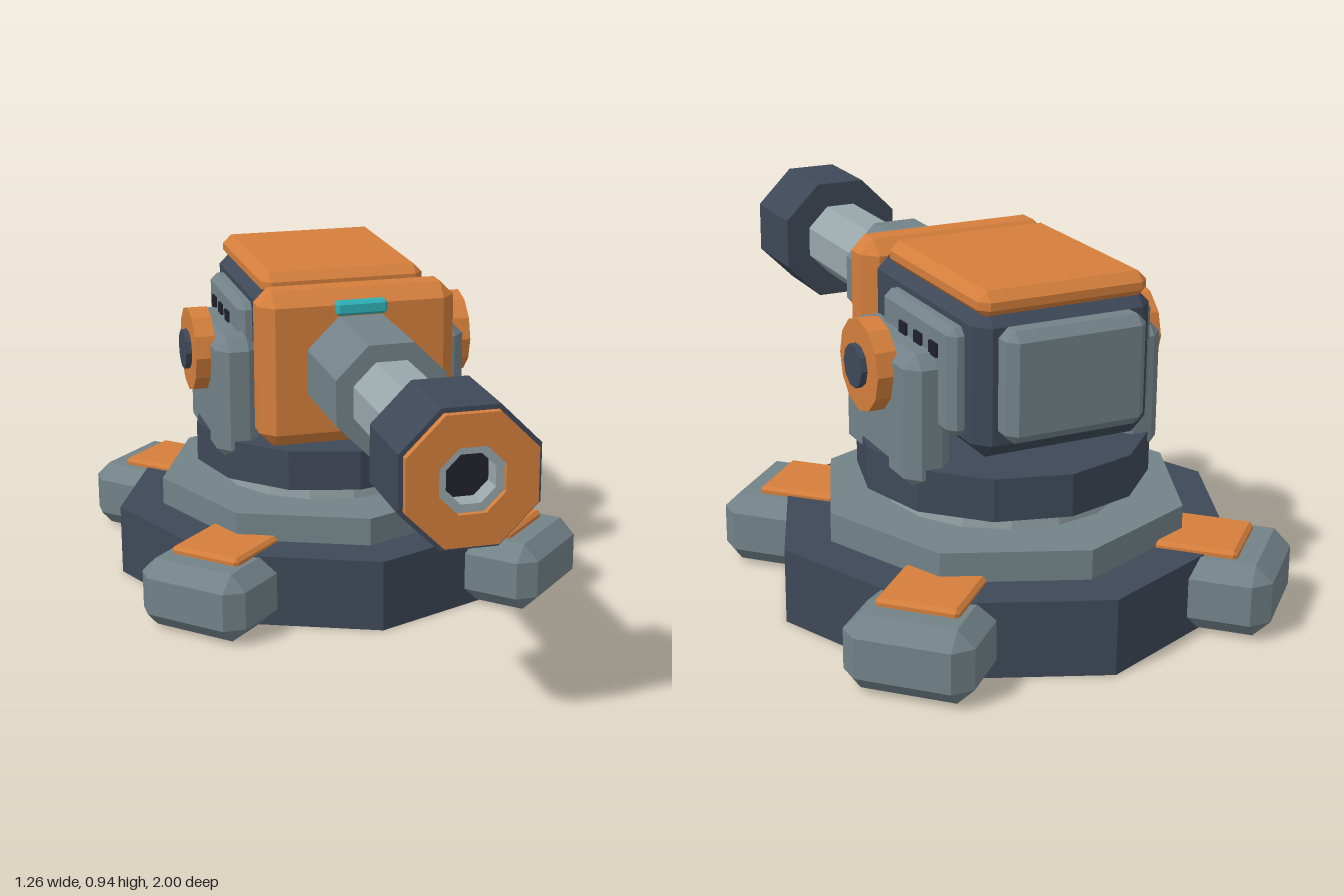
import * as THREE from 'three';
import { ConvexGeometry } from 'three/addons/geometries/ConvexGeometry.js';

const mat = (name, color) => {
  const m = new THREE.MeshStandardMaterial({ color });
  m.name = name;
  return m;
};

// Facet a geometry so every face is flat
function facet(geometry) {
  const g = geometry.index ? geometry.toNonIndexed() : geometry;
  g.computeVertexNormals();
  return g;
}

// Box with every edge chamfered by c, given as min/max extents
function chamferBox([x0, x1], [y0, y1], [z0, z1], c) {
  const h = [(x1 - x0) / 2, (y1 - y0) / 2, (z1 - z0) / 2];
  const points = [];
  for (const sx of [-1, 1]) for (const sy of [-1, 1]) for (const sz of [-1, 1])
    for (let full = 0; full < 3; full++) {
      const p = h.map((v, i) => (i === full ? v : v - c));
      points.push(new THREE.Vector3(p[0] * sx, p[1] * sy, p[2] * sz));
    }
  const g = new ConvexGeometry(points);
  g.translate((x0 + x1) / 2, (y0 + y1) / 2, (z0 + z1) / 2);
  return g;
}

// Upright prism with a corner facing +z
const drum = (r, y0, y1, sides) =>
  facet(new THREE.CylinderGeometry(r, r, y1 - y0, sides).translate(0, (y0 + y1) / 2, 0));

// Eight-sided tube along z with flats up and sideways; sizes are across half the flats
function octTube(inner, outer, z0, z1) {
  const k = 1 / Math.cos(Math.PI / 8);
  const profile = [[inner, z0], [outer, z0], [outer, z1], [inner, z1], [inner, z0]]
    .map(([r, z]) => new THREE.Vector2(r * k, z));
  return facet(new THREE.LatheGeometry(profile, 8, Math.PI / 8).rotateX(Math.PI / 2));
}

export function createModel() {
  const orange = mat('orange paint', 0xd47e3c);
  const grey = mat('mid grey', 0x728288);
  const light = mat('light grey', 0x98a6aa);
  const dark = mat('dark slate', 0x3e4857);
  const black = mat('bore black', 0x20212d);
  const teal = mat('teal sight', 0x2fb0b6);

  const model = new THREE.Group();
  model.name = 'turret';
  const add = (parent, name, geometry, material) => {
    const m = new THREE.Mesh(geometry, material);
    m.name = name;
    parent.add(m);
    return m;
  };

  // Everything but the gun turns about this pivot
  const base = new THREE.Group();
  base.name = 'base';
  base.position.z = -0.37;
  model.add(base);
  add(base, 'basePlate', drum(0.63, 0, 0.205, 8), dark);
  add(base, 'baseStep', drum(0.5, 0.205, 0.285, 8), grey);
  add(base, 'neck', drum(0.325, 0.285, 0.335, 16), light);
  add(base, 'turntable', drum(0.393, 0.335, 0.45, 12), dark);

  // Four diagonal feet with painted pads
  for (let i = 0; i < 4; i++) {
    const foot = new THREE.Group();
    foot.name = 'foot' + (i + 1);
    foot.rotation.y = Math.PI / 4 + i * Math.PI / 2;
    base.add(foot);
    add(foot, 'footBlock', chamferBox([-0.17, 0.17], [0.004, 0.202], [0.42, 0.768], 0.045), grey);
    add(foot, 'footPad', chamferBox([-0.11, 0.11], [0.192, 0.222], [0.45, 0.67], 0.01), orange);
  }

  // Gun housing
  const housing = new THREE.Group();
  housing.name = 'housing';
  model.add(housing);
  add(housing, 'body', chamferBox([-0.25, 0.25], [0.505, 0.89], [-0.725, -0.08], 0.04), dark);
  add(housing, 'frontArmour', chamferBox([-0.282, 0.282], [0.475, 0.92], [-0.115, 0.022], 0.04), orange);
  add(housing, 'roofArmour', chamferBox([-0.237, 0.237], [0.866, 0.937], [-0.715, -0.15], 0.025), orange);
  add(housing, 'rearPlate', chamferBox([-0.195, 0.195], [0.56, 0.85], [-0.79, -0.69], 0.025), grey);
  add(housing, 'sight', chamferBox([-0.073, 0.073], [0.853, 0.893], [0.01, 0.045], 0.008), teal);

  // Side panels, vents, cradle arms and pivots, mirrored
  for (const s of [-1, 1]) {
    const side = new THREE.Group();
    side.name = s > 0 ? 'leftSide' : 'rightSide';
    model.add(side);
    const span = (a, b) => (s > 0 ? [a, b] : [-b, -a]);
    add(side, 'sidePanel', chamferBox(span(0.22, 0.29), [0.55, 0.835], [-0.65, -0.235], 0.02), grey);
    for (const z of [-0.38, -0.47, -0.56])
      add(side, 'vent', new THREE.BoxGeometry(0.02, 0.036, 0.042).translate(s * 0.287, 0.763, z), black);
    add(side, 'cradleArm', chamferBox(span(0.243, 0.37), [0.388, 0.75], [-0.583, -0.157], 0.035), grey);
    const disc = (r, x0, x1, n) => facet(new THREE.CylinderGeometry(r, r, x1 - x0, n)
      .rotateZ(Math.PI / 2).translate(s * (x0 + x1) / 2, 0.678, -0.367));
    add(side, 'pivotDisc', disc(0.123, 0.355, 0.413, 12), orange);
    add(side, 'pivotHub', disc(0.058, 0.36, 0.43, 10), dark);
  }

  // Gun barrel along +z
  const gun = new THREE.Group();
  gun.name = 'gun';
  gun.position.y = 0.695;
  model.add(gun);
  add(gun, 'barrelSleeve', octTube(0.06, 0.152, 0, 0.33), grey);
  add(gun, 'barrel', octTube(0.062, 0.105, 0.3, 0.78), light);
  add(gun, 'muzzle', octTube(0.083, 0.177, 0.74, 0.98), dark);
  add(gun, 'muzzleRing', octTube(0.083, 0.165, 0.975, 1), orange);
  add(gun, 'boreLiner', octTube(0.062, 0.084, 0.76, 0.985), light);
  add(gun, 'bore', new THREE.CircleGeometry(0.07, 8, Math.PI / 8).translate(0, 0, 0.93), black);

  return model;
}
